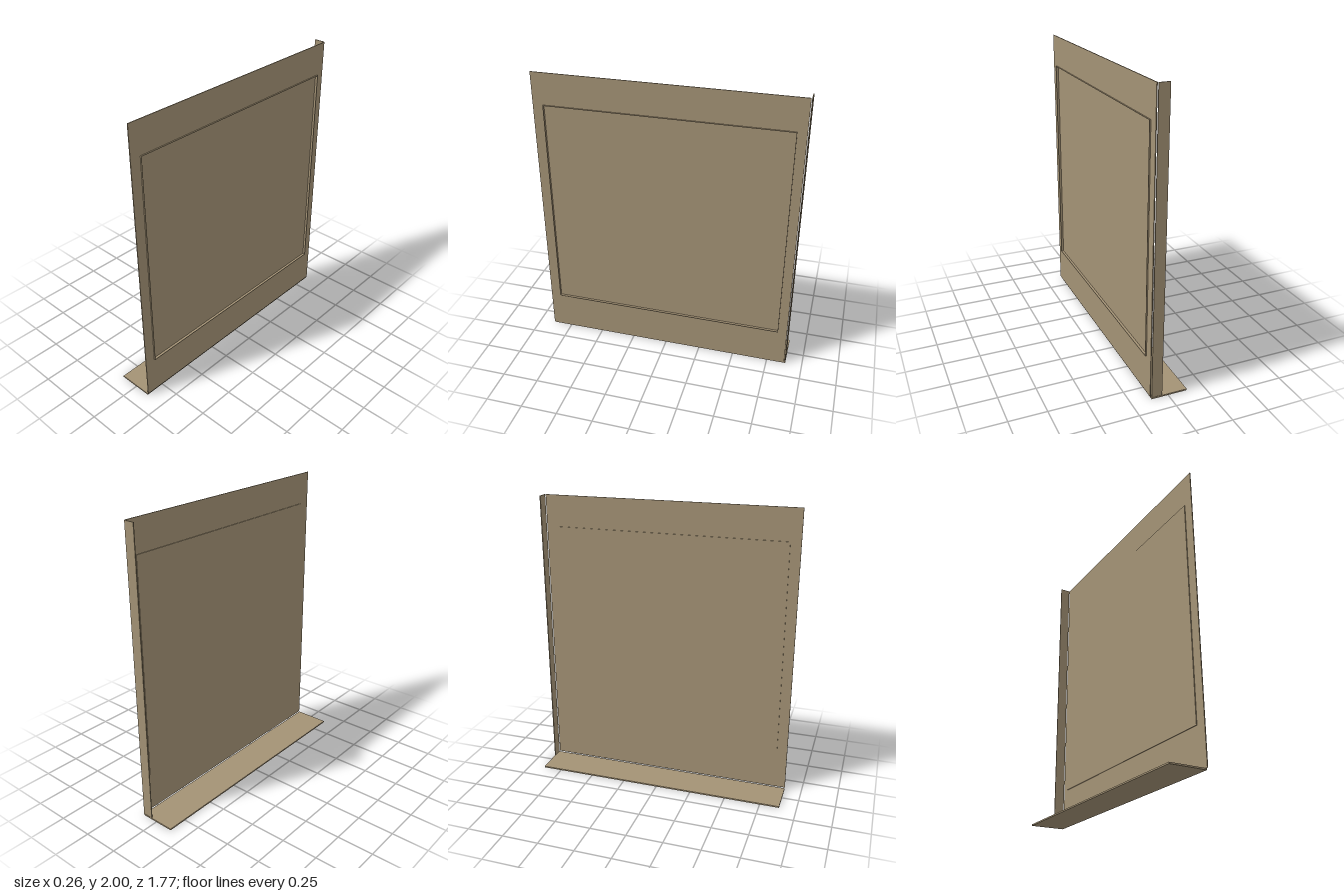
import * as THREE from 'three';

export function createModel() {
  const model = new THREE.Group();
  model.name = 'foldedSheetPanel';
  const tan = new THREE.MeshStandardMaterial({ color: 0xa39275 });
  tan.name = 'tan';

  const add = (name, geometry) => {
    const mesh = new THREE.Mesh(geometry, tan);
    mesh.name = name;
    model.add(mesh);
  };
  // Box given by its lower and upper limits on each axis
  const slab = (name, [x0, x1], [y0, y1], [z0, z1]) =>
    add(name, new THREE.BoxGeometry(x1 - x0, y1 - y0, z1 - z0)
      .translate((x0 + x1) / 2, (y0 + y1) / 2, (z0 + z1) / 2));

  const rectangle = (Path, z0, z1, y0, y1) => new Path(
    [[z0, y0], [z1, y0], [z1, y1], [z0, y1]].map(([z, y]) => new THREE.Vector2(z, y)));

  // Upright sheet with a rectangular opening
  const HALF = 0.884, t = 0.003;
  const zIn = 0.813, yLow = 0.277, yHigh = 1.783;
  const sheet = rectangle(THREE.Shape, -HALF + 0.009, HALF, 0.015, 2);
  sheet.holes.push(rectangle(THREE.Path, -zIn, zIn, yLow, yHigh));
  add('uprightSheet', new THREE.ExtrudeGeometry(sheet, { depth: 0.006, bevelEnabled: false })
    .rotateY(-Math.PI / 2).translate(0.122, 0, 0));

  // Shallow tray set in the opening, open on the +x side
  const depth = [0.111, 0.131];
  slab('trayFloor', [0.111, 0.111 + t], [yLow, yHigh], [-zIn, zIn]);
  slab('trayBottomWall', depth, [yLow, yLow + t], [-zIn, zIn]);
  slab('trayTopWall', depth, [yHigh - t, yHigh], [-zIn, zIn]);
  for (const s of [-1, 1]) {
    const z = s * (zIn - t / 2);
    slab(s < 0 ? 'trayBackWall' : 'trayFrontWall', depth, [yLow, yHigh], [z - t / 2, z + t / 2]);
  }

  // Foot and side flange, each with a narrow gap along the fold
  slab('foot', [-0.132, 0.114], [0, 0.01], [-HALF, HALF]);
  slab('sideFlange', [0.042, 0.114], [0.012, 2], [-HALF, -HALF + 0.006]);

  return model;
}
